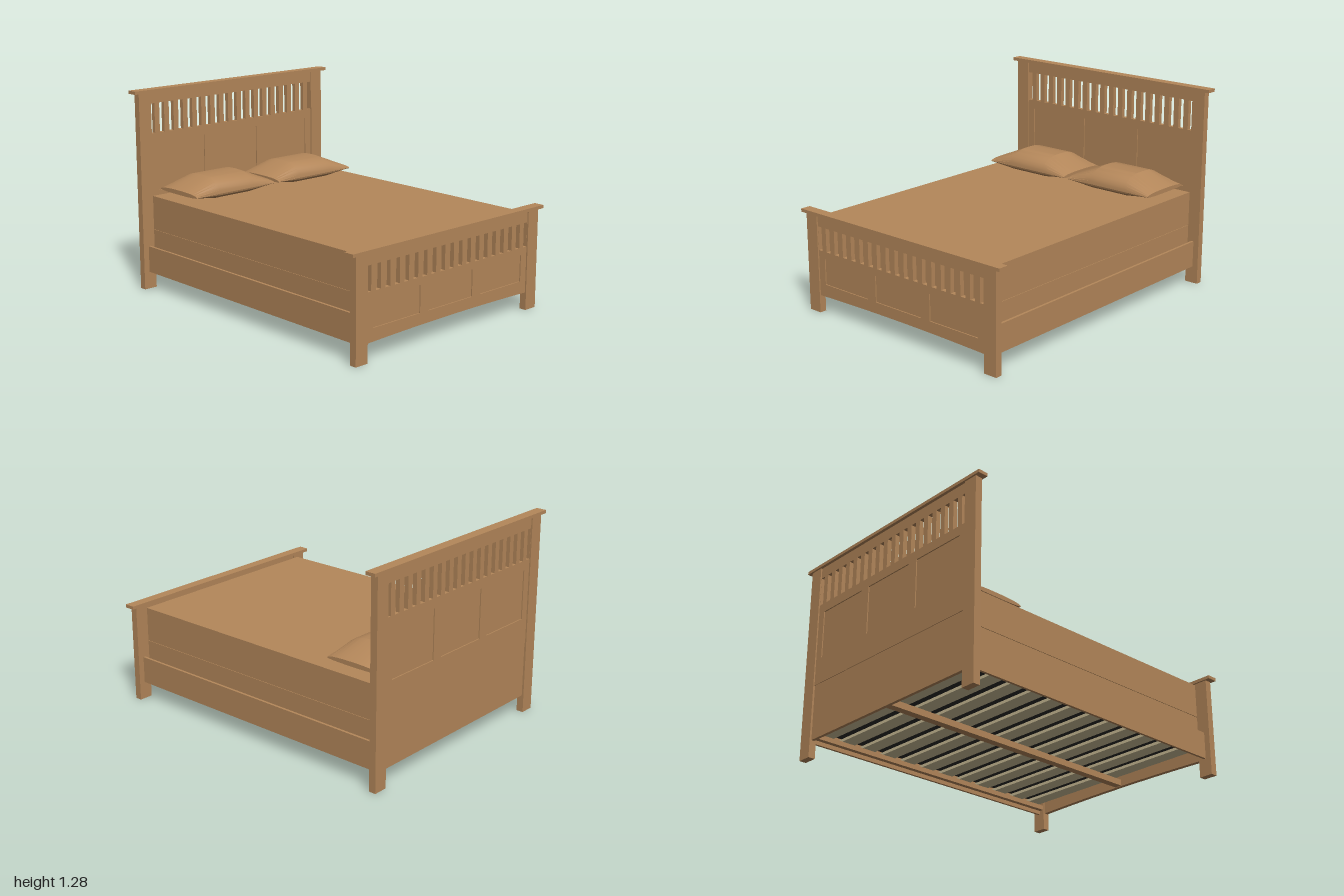
import * as THREE from 'three';
import { toCreasedNormals } from 'three/addons/utils/BufferGeometryUtils.js';

const material = (name, color) => {
  const m = new THREE.MeshStandardMaterial({ color });
  m.name = name;
  return m;
};

export function createModel() {
  const wood = material('warm brown', 0xb4875a);
  const pale = material('pale slat wood', 0xcdbf98);
  const dark = material('dark lining', 0x2c2b28);
  const model = new THREE.Group();
  model.name = 'bed';

  const add = (parent, name, geometry, mat) => {
    const mesh = new THREE.Mesh(geometry, mat);
    mesh.name = name;
    parent.add(mesh);
    return mesh;
  };

  // Box given by its lower and upper limits on each axis
  const box = (parent, name, [x0, x1], [y0, y1], [z0, z1], mat = wood) => {
    const g = new THREE.BoxGeometry(x1 - x0, y1 - y0, z1 - z0);
    g.translate((x0 + x1) / 2, (y0 + y1) / 2, (z0 + z1) / 2);
    return add(parent, name, g, mat);
  };

  const hole = (shape, u0, u1, y0, y1) => {
    const p = new THREE.Path();
    p.moveTo(u0, y0);
    p.lineTo(u0, y1);
    p.lineTo(u1, y1);
    p.lineTo(u1, y0);
    p.closePath();
    shape.holes.push(p);
  };

  // Headboard or footboard: posts, cap, slotted frame and three recessed panels
  const endBoard = (name, x, { top, bottom, arch, slots, panels }) => {
    const group = new THREE.Group();
    group.name = name;
    model.add(group);
    for (const s of [-1, 1]) {
      box(group, 'post', [x - 0.0225, x + 0.0225], [0, top],
        s > 0 ? [0.675, 0.765] : [-0.765, -0.675]);
    }
    box(group, 'cap', [x - 0.033, x + 0.033], [top, top + 0.02], [-0.8, 0.8]);

    const half = 0.677;
    const shape = new THREE.Shape();
    shape.moveTo(-half, bottom);
    shape.quadraticCurveTo(0, bottom + 2 * arch, half, bottom);
    shape.lineTo(half, top);
    shape.lineTo(-half, top);
    shape.closePath();
    for (let i = 0; i < 19; i++) {
      const c = -0.6615 + i * 0.0735;
      hole(shape, Math.max(c - 0.0185, -0.674), Math.min(c + 0.0185, 0.674), ...slots);
    }
    for (const c of [-0.44, 0, 0.44]) {
      hole(shape, c - 0.185, c + 0.185, ...panels);
      box(group, 'recessedPanel', [x - 0.007, x + 0.007], panels, [c - 0.187, c + 0.187]);
    }
    const g = new THREE.ExtrudeGeometry(shape, { depth: 0.028, bevelEnabled: false, curveSegments: 16 });
    g.translate(0, 0, -0.014);
    g.rotateY(Math.PI / 2);
    g.translate(x, 0, 0);
    add(group, 'slottedFrame', g, wood);
    return group;
  };

  const head = endBoard('headboard', -0.967,
    { top: 1.26, bottom: 0.46, arch: 0, slots: [1.0, 1.19], panels: [0.63, 0.94] });
  box(head, 'lowerBoard', [-0.977, -0.957], [0.11, 0.46], [-0.677, 0.677]);
  endBoard('footboard', 0.963,
    { top: 0.62, bottom: 0.11, arch: 0.011, slots: [0.4, 0.55], panels: [0.19, 0.355] });

  // Side rails with inner ledges
  for (const s of [-1, 1]) {
    const span = (a, b) => (s > 0 ? [a, b] : [-b, -a]);
    box(model, 'sideRail', [-0.95, 0.945], [0.11, 0.28], span(0.711, 0.727));
    box(model, 'railLedge', [-0.944, 0.94], [0.135, 0.165], span(0.68, 0.711));
  }

  // Centre beam and cross slats
  box(model, 'centreBeam', [-0.955, 0.95], [0.125, 0.165], [-0.025, 0.025]);
  for (let i = 0; i < 12; i++) {
    const c = -0.86 + i * 0.156;
    box(model, 'slat', [c - 0.046, c + 0.046], [0.165, 0.183], [-0.709, 0.709], pale);
  }

  // Box spring with dark underside, and mattress
  box(model, 'boxSpringLining', [-0.93, 0.925], [0.183, 0.188], [-0.692, 0.692], dark);
  box(model, 'boxSpring', [-0.93, 0.925], [0.188, 0.386], [-0.692, 0.692]);
  box(model, 'mattressSeam', [-0.926, 0.921], [0.386, 0.39], [-0.688, 0.688]);
  box(model, 'mattress', [-0.93, 0.925], [0.39, 0.605], [-0.692, 0.692]);

  // Pillow: rounded cross-sections that flatten towards both ends
  const pillowGeometry = () => {
    const n = 32;
    const stations = [[-0.315, 0.2], [-0.135, 1], [0.135, 1], [0.315, 0.2]];
    const pos = [], index = [];
    const power = (v, e) => Math.sign(v) * Math.abs(v) ** e;
    for (const [z, k] of stations) {
      for (let i = 0; i < n; i++) {
        const a = (i / n) * Math.PI * 2;
        const sy = Math.sin(a);
        pos.push(0.185 * power(Math.cos(a), 0.8), power(sy, 0.9) * k * (sy > 0 ? 0.095 : 0.045), z);
      }
    }
    for (let j = 0; j < 3; j++) {
      for (let i = 0; i < n; i++) {
        const a = j * n + i, b = j * n + ((i + 1) % n);
        index.push(a, b, b + n, a, b + n, a + n);
      }
    }
    for (let i = 1; i < n - 1; i++) {
      index.push(0, i + 1, i, 3 * n, 3 * n + i, 3 * n + i + 1);
    }
    const g = new THREE.BufferGeometry();
    g.setAttribute('position', new THREE.Float32BufferAttribute(pos, 3));
    g.setIndex(index);
    return toCreasedNormals(g, 0.38);
  };
  for (const s of [-1, 1]) {
    add(model, s > 0 ? 'frontPillow' : 'backPillow', pillowGeometry(), wood)
      .position.set(-0.72, 0.65, s * 0.332);
  }

  return model;
}
